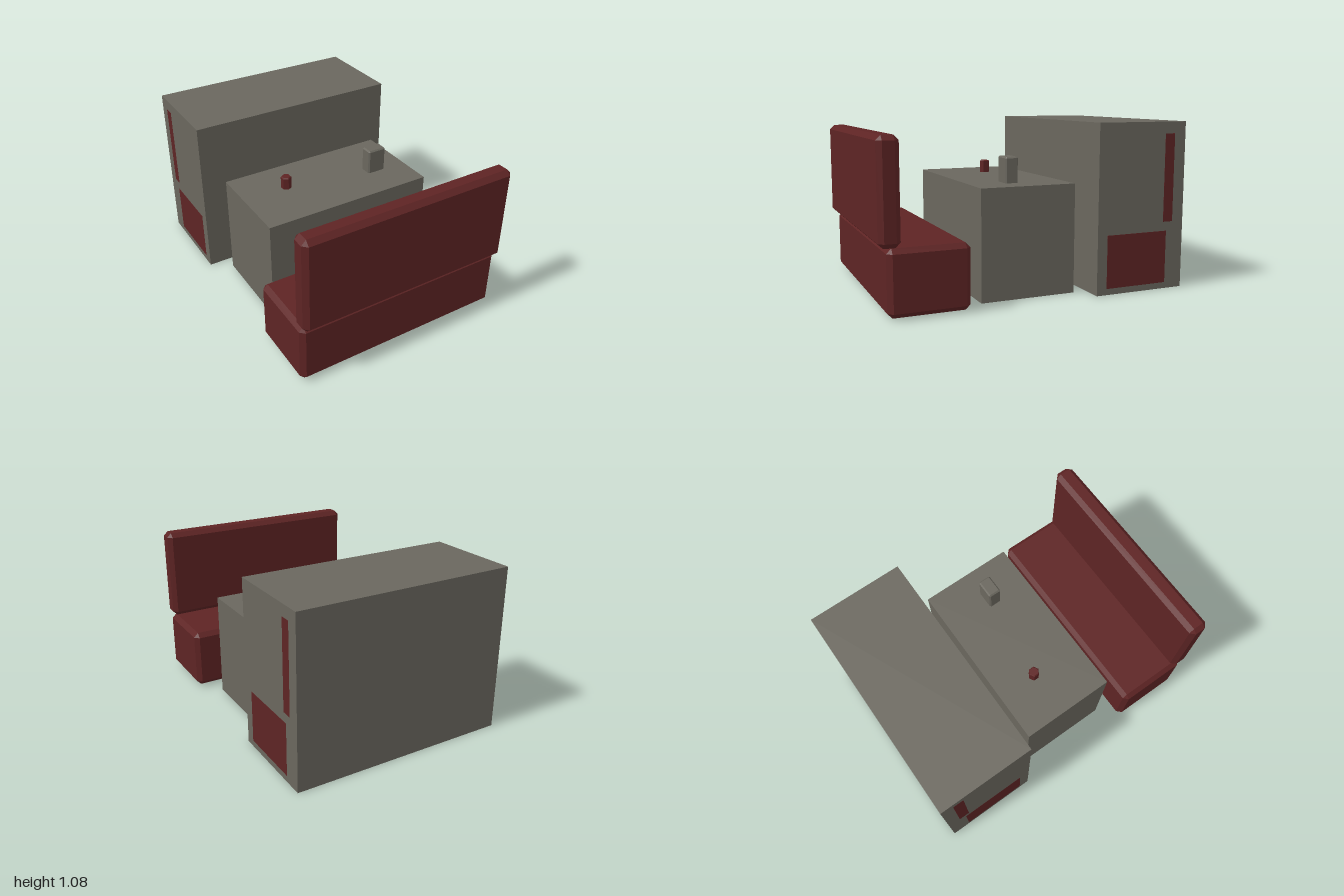
import * as THREE from 'three';
import { ConvexGeometry } from 'three/addons/geometries/ConvexGeometry.js';

const red = new THREE.MeshStandardMaterial({ color: 0x5e2424, name: 'dark red upholstery' });
const grey = new THREE.MeshStandardMaterial({ color: 0x6a675e, name: 'warm grey' });

// Box with every edge and corner chamfered by c
function chamferBox(w, h, d, c) {
  const points = [];
  for (const sx of [-1, 1]) for (const sy of [-1, 1]) for (const sz of [-1, 1]) {
    for (let full = 0; full < 3; full++) {
      const half = [w / 2, h / 2, d / 2].map((v, i) => (i === full ? v : v - c));
      points.push(new THREE.Vector3(sx * half[0], sy * half[1], sz * half[2]));
    }
  }
  return new ConvexGeometry(points);
}

// Mesh filling the given x, y and z ranges, optionally chamfered
function block(name, material, [x0, x1], [y0, y1], [z0, z1], c = 0) {
  const size = [x1 - x0, y1 - y0, z1 - z0];
  const mesh = new THREE.Mesh(c ? chamferBox(...size, c) : new THREE.BoxGeometry(...size), material);
  mesh.name = name;
  mesh.position.set((x0 + x1) / 2, (y0 + y1) / 2, (z0 + z1) / 2);
  return mesh;
}

// Padded seat with an upright backrest, its back towards +z
function bench(name, halfWidth) {
  const group = new THREE.Group();
  group.name = name;
  const x = [-halfWidth, halfWidth];
  group.add(
    block('seat', red, x, [0.01, 0.41], [0.46, 0.955], 0.03),
    block('backrest', red, x, [0.41, 1.035], [0.87, 1.0], 0.03)
  );
  return group;
}

export function createModel() {
  const model = new THREE.Group();
  model.name = 'diningBooth';

  // Front bench, and a facing one enclosed in the rear housing
  const rearBench = bench('rearBench', 0.7205);
  rearBench.rotation.y = Math.PI;
  rearBench.position.z = 0.05;
  model.add(
    bench('frontBench', 0.718),
    rearBench,
    block('rearHousing', grey, [-0.72, 0.72], [0, 1.08], [-1, -0.37])
  );

  // Solid table
  model.add(block('table', grey, [-0.587, 0.583], [0, 0.7], [-0.28, 0.35]));

  // Napkin holder
  model.add(block('napkinHolder', grey, [0.29, 0.42], [0.69, 0.865], [0.035, 0.12], 0.009));

  // Six-sided sauce bottle with a small chamfer at the rim
  const profile = [[0, 0], [0.035, 0], [0.035, 0.08], [0.029, 0.086], [0, 0.086]];
  const bottle = new THREE.Mesh(
    new THREE.LatheGeometry(profile.map(([r, y]) => new THREE.Vector2(r, y)), 6).toNonIndexed(),
    red
  );
  bottle.geometry.computeVertexNormals();
  bottle.name = 'sauceBottle';
  bottle.position.set(-0.273, 0.698, -0.015);
  model.add(bottle);

  return model;
}
